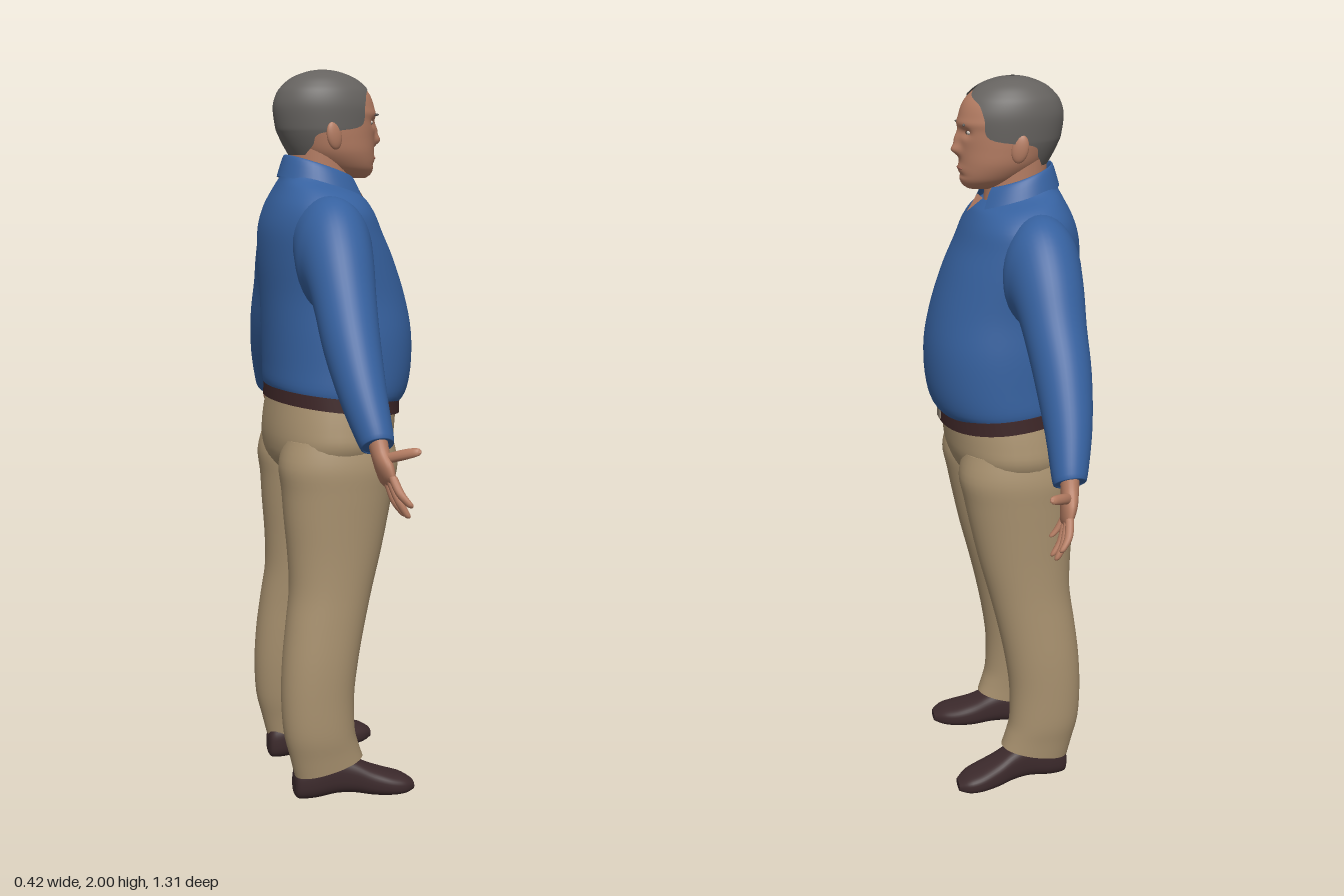
import * as THREE from 'three';

const mat = (name, color, side = THREE.FrontSide) => {
  const m = new THREE.MeshStandardMaterial({ color, side });
  m.name = name;
  return m;
};

// A ring is centre + two half axes + opening angle: [cx,cy,cz, ax,ay,az, bx,by,bz, t0]
// Level ring from back/front heights, back/front x and a z range.
const level = (yb, yf, xb, xf, z0, z1, t0 = 0) => [
  (xb + xf) / 2, (yb + yf) / 2, (z0 + z1) / 2,
  (xf - xb) / 2, (yf - yb) / 2, 0, 0, 0, (z1 - z0) / 2, t0];
// Limb ring from its outer and inner outline points in the z-y plane.
const limb = (s, zo, yo, zi, yi, x, rx) => [
  x, (yo + yi) / 2, s * (zo + zi) / 2, rx, 0, 0, 0, (yo - yi) / 2, s * (zo - zi) / 2, 0];

// Smooth skin through the rings, with flat caps unless open.
function loft(keys, { n = 40, sub = 4, pow = 1, open = false } = {}) {
  const rings = [], at = i => keys[Math.max(0, Math.min(keys.length - 1, i))];
  for (let i = 0; i < keys.length - 1; i++) for (let k = 0; k < sub; k++) {
    const t = k / sub;
    rings.push(keys[i].map((p1, d) => {
      const p0 = at(i - 1)[d], p2 = at(i + 1)[d], p3 = at(i + 2)[d];
      return p1 + 0.5 * t * (p2 - p0 + t * (2 * p0 - 5 * p1 + 4 * p2 - p3 + t * (3 * (p1 - p2) + p3 - p0)));
    }));
  }
  rings.push(keys[keys.length - 1]);
  const pos = [], idx = [], m = open ? n + 1 : n;
  const soft = v => Math.sign(v) * Math.abs(v) ** pow;
  const addRing = r => {
    for (let j = 0; j < m; j++) {
      const t = r[9] + (2 * Math.PI - 2 * r[9]) * j / n, c = soft(Math.cos(t)), s = soft(Math.sin(t));
      for (let d = 0; d < 3; d++) pos.push(r[d] + r[3 + d] * c + r[6 + d] * s);
    }
  };
  const v = (r, o) => new THREE.Vector3(r[o], r[o + 1], r[o + 2]);
  const first = rings[0], last = rings[rings.length - 1];
  const flip = v(first, 3).cross(v(first, 6)).dot(v(last, 0).sub(v(first, 0))) < 0;
  const tri = (a, b, c) => (flip ? idx.push(a, c, b) : idx.push(a, b, c));
  rings.forEach((r, i) => {
    addRing(r);
    if (i) for (let j = 0; j < n; j++) {
      const a = (i - 1) * m + j, b = (i - 1) * m + (j + 1) % m;
      tri(a, b, b + m); tri(a, b + m, a + m);
    }
  });
  if (!open) [first, last].forEach((r, e) => {
    const base = pos.length / 3;
    addRing(r);
    pos.push(r[0], r[1], r[2]);
    for (let j = 0; j < n; j++) {
      const a = base + j, b = base + (j + 1) % n;
      e ? tri(a, b, base + n) : tri(b, a, base + n);
    }
  });
  const g = new THREE.BufferGeometry();
  g.setAttribute('position', new THREE.Float32BufferAttribute(pos, 3));
  g.setIndex(idx);
  g.computeVertexNormals();
  return g;
}

export function createModel() {
  const root = new THREE.Group();
  root.name = 'standingMan';
  const shirt = mat('shirt blue', 0x36619f, THREE.DoubleSide), trousers = mat('trouser tan', 0xa8916f);
  const belt = mat('belt brown', 0x3d2627), shoe = mat('shoe brown', 0x3c2a2c);
  const skin = mat('skin', 0xb57d63, THREE.DoubleSide), hair = mat('hair grey', 0x65625f, THREE.DoubleSide);
  const white = mat('eye white', 0xc9bdb2), iris = mat('iris', 0x2b211d);
  const lip = mat('lips', 0x9c5f50), metal = mat('buckle', 0x8d8272);
  const add = (name, geo, material, parent = root) => {
    const m = new THREE.Mesh(geo, material);
    m.name = name;
    parent.add(m);
    return m;
  };
  const blob = (name, material, p, s) => {
    const m = add(name, new THREE.SphereGeometry(1, 20, 14), material);
    m.position.set(...p);
    m.scale.set(...s);
    return m;
  };
  const body = rows => rows.map(([yb, yf, xb, xf, w, t0]) => level(yb, yf, xb, xf, -w, w, t0));

  // Shirt body with a soft belly, hanging over the belt
  add('shirtBody', loft(body([
    [1.14, 1.1, -.185, .158, .22], [1.165, 1.13, -.198, .187, .228], [1.22, 1.2, -.2, .204, .227],
    [1.3, 1.3, -.202, .205, .224], [1.4, 1.4, -.205, .185, .216], [1.5, 1.5, -.21, .15, .22],
    [1.58, 1.57, -.207, .117, .222], [1.64, 1.62, -.19, .095, .213], [1.69, 1.655, -.165, .075, .17],
    [1.72, 1.67, -.15, .06, .12], [1.755, 1.68, -.14, .045, .085]]), { n: 56, pow: .92 }), shirt);

  // Collar: a folded band, open at the throat
  add('collar', loft(body([
    [1.74, 1.68, -.13, .04, .082, .6], [1.775, 1.715, -.138, .042, .086, .58],
    [1.765, 1.705, -.146, .054, .098, .57], [1.72, 1.655, -.16, .08, .118, .62]]), { open: true }), shirt);
  const throat = new THREE.BufferGeometry();
  throat.setAttribute('position', new THREE.Float32BufferAttribute(
    [.052, 1.692, .035, .052, 1.692, -.035, .088, 1.652, 0], 3));
  throat.computeVertexNormals();
  add('openThroat', throat, skin);

  // Trouser seat, belt and buckle
  add('trouserSeat', loft(body([
    [1.14, 1.1, -.186, .16, .222], [1.06, 1.05, -.198, .155, .234], [1, 1, -.199, .147, .237],
    [.95, .95, -.185, .125, .2], [.89, .89, -.13, .08, .08]]), { pow: .92 }), trousers);
  add('belt', loft(body([
    [1.12, 1.078, -.196, .17, .233], [1.155, 1.115, -.194, .17, .231]]), { n: 56, sub: 1, pow: .92 }), belt);
  const buckle = add('beltBuckle', new THREE.BoxGeometry(.008, .026, .036), metal);
  buckle.position.set(.169, 1.097, 0);

  for (const s of [1, -1]) {
    const side = s > 0 ? 'right' : 'left';

    // Sleeve
    add(side + 'Sleeve', loft([
      limb(s, .14, 1.67, .14, 1.45, -.07, .09), limb(s, .215, 1.664, .19, 1.37, -.065, .103),
      limb(s, .275, 1.625, .21, 1.37, -.066, .096), limb(s, .335, 1.548, .235, 1.37, -.068, .088),
      limb(s, .39, 1.45, .265, 1.342, -.07, .08), limb(s, .455, 1.345, .335, 1.25, -.073, .072),
      limb(s, .522, 1.22, .42, 1.148, -.068, .059), limb(s, .572, 1.112, .495, 1.055, -.055, .044),
      limb(s, .57, 1.098, .507, 1.052, -.054, .036)]), shirt);

    // Open hand, palm forward
    const hand = new THREE.Group();
    hand.name = side + 'Hand';
    root.add(hand);
    add('palm', loft([
      limb(s, .563, 1.105, .513, 1.07, -.053, .024), limb(s, .58, 1.068, .525, 1.04, -.05, .022),
      limb(s, .605, 1.04, .53, 1.005, -.044, .02), limb(s, .614, 1.012, .536, .98, -.038, .015),
      limb(s, .613, .997, .55, .973, -.034, .008)], { n: 24 }), skin, hand);
    const digits = {
      thumb: [[-.04, 1.05, .578], [-.012, 1.064, .612], [.018, 1.076, .642], .013],
      indexFinger: [[-.036, 1.007, .605], [-.026, .972, .633], [-.004, .942, .652], .011],
      middleFinger: [[-.036, .995, .59], [-.022, .95, .61], [0, .908, .62], .011],
      ringFinger: [[-.036, .987, .569], [-.022, .942, .58], [.002, .905, .587], .0105],
      littleFinger: [[-.036, .988, .55], [-.022, .962, .55], [-.004, .94, .55], .0095],
    };
    for (const [name, [p, q, e, r]] of Object.entries(digits)) {
      const len = Math.hypot(e[1] - p[1], e[2] - p[2]);
      const dy = (e[1] - p[1]) / len, dz = (e[2] - p[2]) / len;
      const ring = (c, k) => [c[0], c[1], s * c[2], r * k, 0, 0, 0, r * k * dz, -s * r * k * dy, 0];
      const near = e.map((v, i) => v + (q[i] - v) * .2);
      add(name, loft([ring(p, 1), ring(q, 1), ring(near, .8), ring(e, .3)], { n: 12 }), skin, hand);
    }

    // Trouser leg
    const leg = [
      [1.02, 1.02, -.175, .125, .01, .225], [.95, .95, -.192, .139, .0, .239], [.88, .88, -.185, .126, .003, .238],
      [.8, .8, -.18, .11, .014, .235], [.7, .7, -.172, .088, .027, .232], [.6, .6, -.17, .062, .04, .232],
      [.5, .5, -.183, .038, .055, .236], [.4, .4, -.195, .018, .065, .24], [.3, .3, -.2, .005, .075, .24],
      [.2, .2, -.195, .006, .087, .238], [.125, .15, -.178, .018, .096, .23], [.07, .115, -.165, .03, .1, .225]];
    add(side + 'TrouserLeg', loft(leg.map(([yb, yf, xb, xf, a, b]) =>
      level(yb, yf, xb, xf, s > 0 ? a : -b, s > 0 ? b : -a)), { pow: .93 }), trousers);

    // Shoe: x, centre z, half width, bottom, top
    const last = [
      [-.165, .15, .02, .015, .06], [-.155, .15, .036, .001, .09], [-.11, .152, .046, 0, .11],
      [-.05, .158, .044, .008, .122], [0, .165, .048, .008, .108], [.05, .175, .053, .001, .082],
      [.1, .186, .055, 0, .064], [.14, .194, .046, .003, .052], [.168, .198, .024, .01, .035]];
    add(side + 'Shoe', loft(last.map(([x, z, w, b, t]) =>
      [x, (b + t) / 2, s * z, 0, (t - b) / 2, 0, 0, 0, w, 0]), { pow: .75 }), shoe);

    // Ear, eye and brow
    const ear = blob(side + 'Ear', skin, [-.032, 1.825, s * .101], [.022, .037, .011]);
    ear.rotation.set(0, s * .25, .2);
    blob(side + 'Eye', white, [.0895, 1.862, s * .035], [.006, .0055, .013]);
    blob(side + 'Iris', iris, [.0925, 1.862, s * .035], [.004, .005, .0055]);
    const brow = blob(side + 'Brow', hair, [.1015, 1.882, s * .037], [.004, .0035, .02]);
    brow.rotation.y = s * .25;
  }

  // Neck and head
  add('neck', loft(body([
    [1.66, 1.64, -.125, .045, .078], [1.73, 1.7, -.125, .04, .076], [1.82, 1.77, -.13, .04, .078]])), skin);
  const headRows = [
    [1.714, .01, .085, .028], [1.725, -.035, .1, .05], [1.745, -.075, .107, .071], [1.78, -.115, .107, .089],
    [1.82, -.14, .107, .096], [1.86, -.158, .11, .099], [1.9, -.163, .108, .1], [1.94, -.152, .092, .092],
    [1.97, -.12, .058, .07], [1.987, -.08, .012, .04], [1.992, -.045, -.025, .01]];
  const head = loft(body(headRows.map(([y, b, f, w]) => [y, y, b, f, w])), { n: 96, sub: 8 });

  // Shape nose, sockets, brow, lips and chin on the face
  const bump = (v, w) => Math.exp(-((v / w) ** 2));
  const P = head.attributes.position;
  for (let i = 0; i < P.count; i++) {
    const x = P.getX(i), y = P.getY(i), z = P.getZ(i), az = Math.abs(z);
    if (x < .03) continue;
    P.setX(i, x + .02 * bump(z, .017) * bump(y - 1.815, .014) + .012 * bump(z, .012) * bump(y - 1.84, .02)
      - .011 * bump(az - .035, .018) * bump(y - 1.861, .012) + .003 * bump(y - 1.884, .01)
      + .004 * bump(z, .028) * bump(y - 1.768, .01) - .004 * bump(z, .03) * bump(y - 1.75, .006));
  }
  head.computeVertexNormals();
  add('head', head, skin);
  blob('mouth', lip, [.1055, 1.768, 0], [.0068, .0042, .026]);

  // Hair shell: y, back x, front x, half width, hairline x
  const hairRows = [
    [1.775, -.128, .108, .09, -.1], [1.8, -.143, .11, .097, -.085], [1.83, -.158, .112, .104, -.07],
    [1.85, -.165, .114, .106, .045], [1.9, -.171, .114, .107, .058], [1.935, -.162, .1, .1, .068],
    [1.957, -.146, .082, .088, .078], [1.978, -.12, .054, .069, .054], [1.994, -.08, .012, .04, .012],
    [2, -.045, -.025, .008, -.025]];
  add('hair', loft(body(hairRows.map(([y, b, f, w, h]) =>
    [y, y, b, f, w, Math.acos(Math.min(1, (h - (b + f) / 2) / ((f - b) / 2)))])),
  { n: 64, sub: 6, open: true }), hair);

  return root;
}
